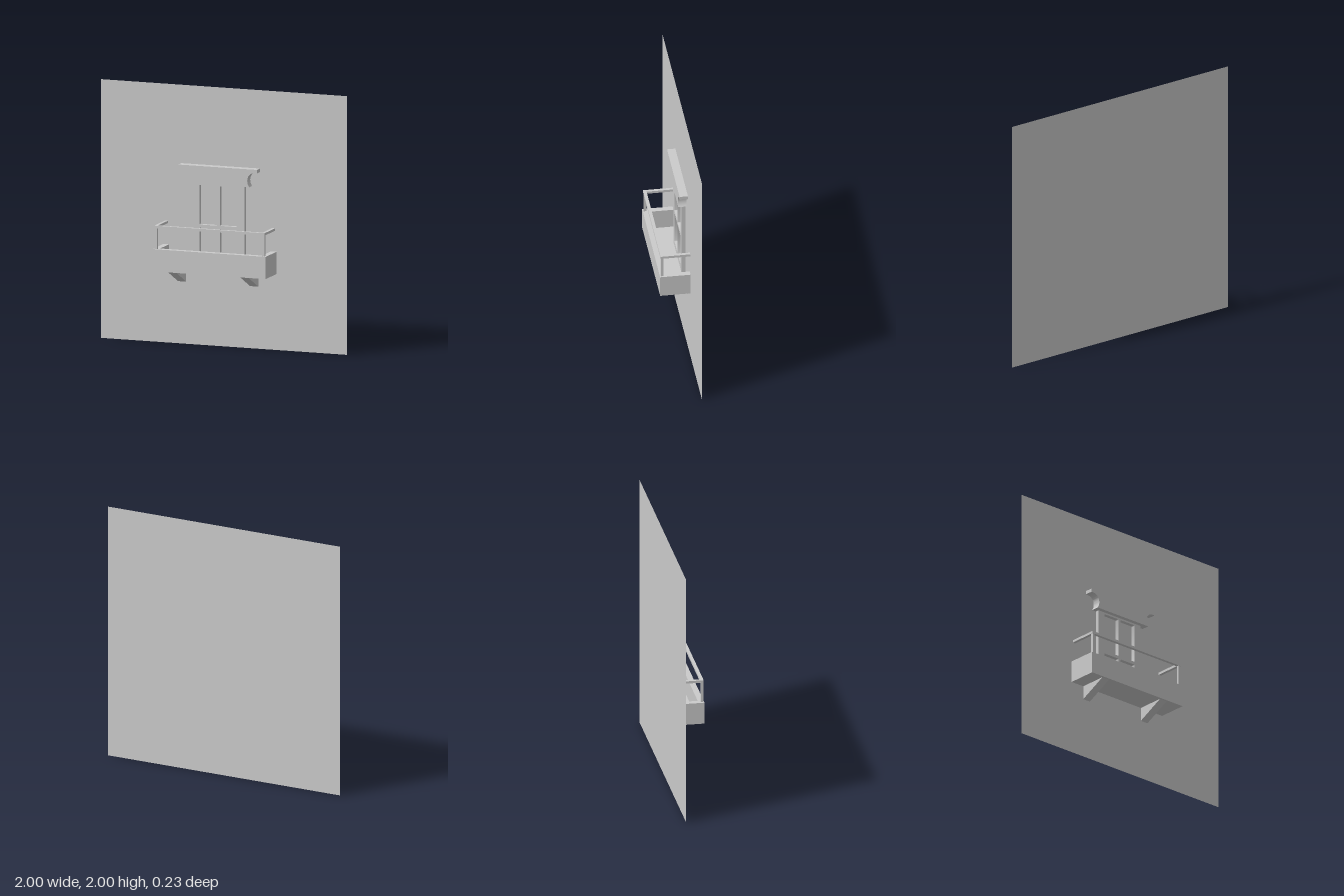
import * as THREE from 'three';
import { toCreasedNormals } from 'three/addons/utils/BufferGeometryUtils.js';

const BACK = -0.1165; // rear of everything fixed to the wall
const FRONT = 0.117;

export function createModel() {
  const model = new THREE.Group();
  model.name = 'balconyWall';
  const material = new THREE.MeshStandardMaterial({ color: 0xcccccc });

  const add = (name, geometry, mat = material) => {
    const mesh = new THREE.Mesh(geometry, mat);
    mesh.name = name;
    model.add(mesh);
    return mesh;
  };
  // Box given by its minimum and maximum corners
  const box = (name, x0, x1, y0, y1, z0, z1) =>
    add(name, new THREE.BoxGeometry(x1 - x0, y1 - y0, z1 - z0))
      .position.set((x0 + x1) / 2, (y0 + y1) / 2, (z0 + z1) / 2);
  const extrude = (shape, depth) => toCreasedNormals(
    new THREE.ExtrudeGeometry(shape, { depth, bevelEnabled: false, curveSegments: 16 }), 0.6);
  // Rectangular opening with slightly rounded corners
  const opening = (x0, x1, y0, y1, r = 0.008) => {
    const p = new THREE.Path();
    p.moveTo(x0 + r, y0);
    p.lineTo(x1 - r, y0);
    p.quadraticCurveTo(x1, y0, x1, y0 + r);
    p.lineTo(x1, y1 - r);
    p.quadraticCurveTo(x1, y1, x1 - r, y1);
    p.lineTo(x0 + r, y1);
    p.quadraticCurveTo(x0, y1, x0, y1 - r);
    p.lineTo(x0, y0 + r);
    p.quadraticCurveTo(x0, y0, x0 + r, y0);
    return p;
  };

  // Thin house wall
  add('wall', new THREE.PlaneGeometry(2, 2),
    new THREE.MeshStandardMaterial({ color: 0xcccccc, side: THREE.DoubleSide }))
    .position.set(0, 1, -0.117);

  // Door with four panel openings
  const door = new THREE.Shape();
  door.moveTo(-0.246, 0.605);
  door.lineTo(0.18, 0.605);
  door.lineTo(0.18, 1.257);
  door.lineTo(-0.246, 1.257);
  door.closePath();
  for (const [x0, x1] of [[-0.187, -0.045], [-0.022, 0.118]])
    for (const [y0, y1] of [[0.65, 0.911], [0.935, 1.241]])
      door.holes.push(opening(x0, x1, y0, y1));
  add('door', extrude(door, 0.031)).position.z = BACK;

  // Cornice over the door, with scooped ends
  const cornice = new THREE.Shape();
  cornice.moveTo(-0.321, 1.394);
  cornice.lineTo(-0.321, 1.367);
  cornice.lineTo(-0.294, 1.367);
  cornice.bezierCurveTo(-0.246, 1.362, -0.223, 1.305, -0.256, 1.255);
  cornice.lineTo(0.256, 1.255);
  cornice.bezierCurveTo(0.223, 1.305, 0.246, 1.362, 0.294, 1.367);
  cornice.lineTo(0.321, 1.367);
  cornice.lineTo(0.321, 1.394);
  cornice.closePath();
  add('cornice', extrude(cornice, 0.064)).position.set(-0.027, 0, BACK);

  // Balcony parapet: U-shaped in plan, with a thin floor
  const L = -0.492, R = 0.428, T = 0.045;
  const plan = new THREE.Shape([
    [L, -FRONT], [R, -FRONT], [R, -BACK], [R - T, -BACK],
    [R - T, T - FRONT], [L + T, T - FRONT], [L + T, -BACK], [L, -BACK],
  ].map(([x, y]) => new THREE.Vector2(x, y)));
  const parapet = add('parapet', extrude(plan, 0.172));
  parapet.rotation.x = -Math.PI / 2;
  parapet.position.y = 0.588;
  box('balconyFloor', L + T, R - T, 0.588, 0.605, BACK, FRONT - T);

  // Handrail and corner posts
  box('frontRail', -0.481, 0.417, 0.922, 0.941, 0.088, 0.112);
  for (const side of [-1, 1]) {
    const x = -0.032 + side * 0.437;
    box('sideRail', x - 0.012, x + 0.012, 0.922, 0.941, BACK, 0.088);
    box('railPost', x - 0.01, x + 0.01, 0.76, 0.922, 0.09, 0.11);
  }

  // Wedge brackets beneath the balcony
  const wedge = new THREE.Shape();
  wedge.moveTo(-BACK, 0.588);
  wedge.lineTo(-0.102, 0.588);
  wedge.lineTo(-BACK, 0.48);
  wedge.closePath();
  for (const x of [-0.374, 0.212]) {
    const bracket = add('bracket', extrude(wedge, 0.067));
    bracket.rotation.y = Math.PI / 2;
    bracket.position.x = x;
  }

  return model;
}
